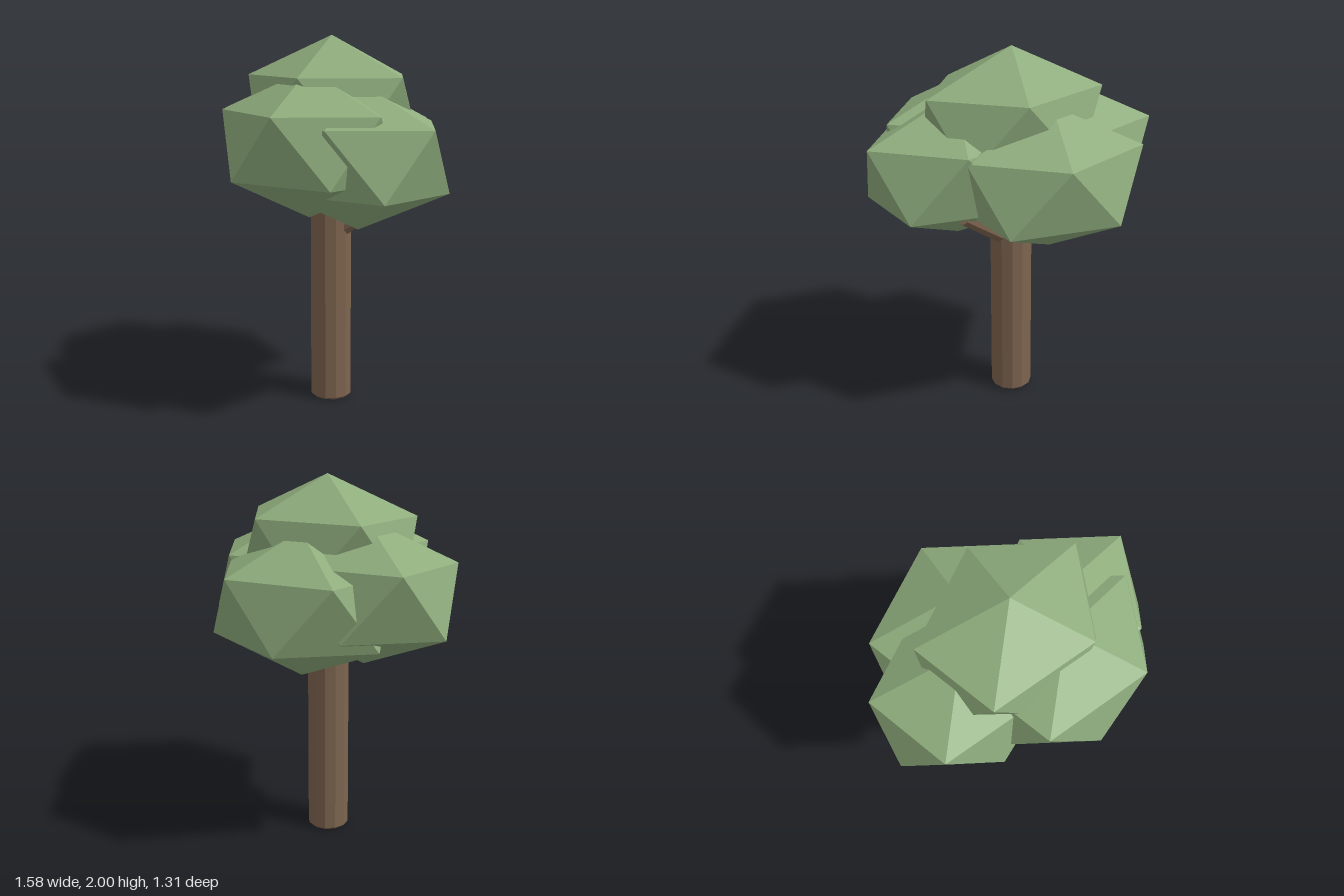
import * as THREE from 'three';

const bark = new THREE.MeshStandardMaterial({ color: 0x7d644f, flatShading: true });
const leaf = new THREE.MeshStandardMaterial({ color: 0x8fad7d, flatShading: true });

function mesh(name, geometry, material) {
  const m = new THREE.Mesh(geometry, material);
  m.name = name;
  return m;
}

// Low-poly leaf clump: icosahedron stood on a corner, one upper-ring corner toward +x
function clumpGeometry() {
  const g = new THREE.IcosahedronGeometry(1, 0);
  g.rotateX(-Math.atan((1 + Math.sqrt(5)) / 2));
  g.rotateY(Math.PI / 2);
  g.scale(0.56, 0.38, 0.455);
  return g;
}

// Tapered limb between two points
function limb(name, from, to, r0, r1) {
  const dir = to.clone().sub(from);
  const m = mesh(name, new THREE.CylinderGeometry(r1, r0, dir.length(), 8), bark);
  m.position.copy(from).addScaledVector(dir, 0.5);
  m.quaternion.setFromUnitVectors(new THREE.Vector3(0, 1, 0), dir.normalize());
  return m;
}

export function createModel() {
  const tree = new THREE.Group();
  tree.name = 'tree';

  // Trunk with a small bevel at the foot
  const profile = [[0, 0], [0.102, 0], [0.115, 0.013], [0.113, 1.3], [0, 1.3]]
    .map(([r, y]) => new THREE.Vector2(r, y));
  const trunk = mesh('trunk', new THREE.LatheGeometry(profile, 12), bark);
  trunk.position.z = 0.017;
  tree.add(trunk);

  // Side branch rising into the leaves
  tree.add(limb('branch', new THREE.Vector3(0.03, 0.935, 0.022),
    new THREE.Vector3(0.4, 1.2, -0.15), 0.042, 0.034));

  // Crown: one top clump over four around it
  const crown = new THREE.Group();
  crown.name = 'crown';
  const geometry = clumpGeometry();
  for (const [name, x, y, z] of [
    ['topLeaves', 0, 1.62, 0.01],
    ['frontLeaves', 0.095, 1.45, 0.265],
    ['backLeaves', -0.055, 1.363, -0.268],
    ['leftLeaves', 0.288, 1.39, 0.1],
    ['rightLeaves', -0.29, 1.42, -0.045],
  ]) {
    const clump = mesh(name, geometry, leaf);
    clump.position.set(x, y, z);
    crown.add(clump);
  }
  tree.add(crown);
  return tree;
}
